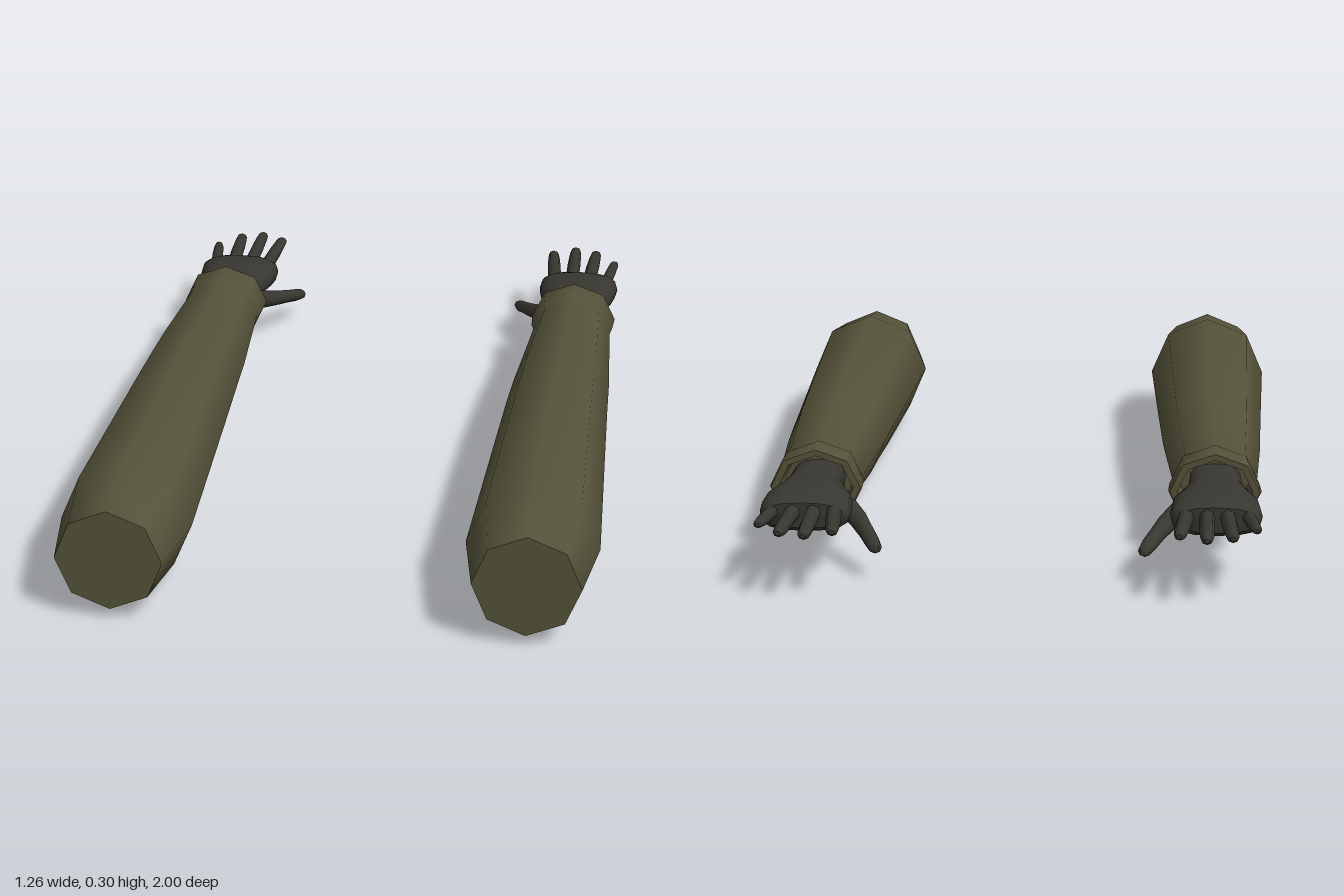
import * as THREE from 'three';
import { toCreasedNormals } from 'three/addons/utils/BufferGeometryUtils.js';

// Closed skin over elliptical sections [z, centreX, centreY, radiusX, radiusY], listed towards -z
function loft(rows, sides, mirror, power = 1) {
  const pos = [], index = [];
  const sx = mirror ? -1 : 1;
  const soft = (v) => Math.sign(v) * Math.abs(v) ** power;
  for (const [z, cx, cy, rx, ry] of rows) {
    for (let j = 0; j < sides; j++) {
      const a = (j / sides) * Math.PI * 2;
      pos.push(sx * (cx + rx * soft(Math.cos(a))), cy + ry * soft(Math.sin(a)), z);
    }
  }
  const tri = (a, b, c) => (mirror ? index.push(a, c, b) : index.push(a, b, c));
  const last = (rows.length - 1) * sides;
  const first = rows[0], end = rows[rows.length - 1];
  const startCentre = rows.length * sides;
  pos.push(sx * first[1], first[2], first[0], sx * end[1], end[2], end[0]);
  for (let j = 0; j < sides; j++) {
    const k = (j + 1) % sides;
    for (let i = 0; i < rows.length - 1; i++) {
      const a = i * sides + j, b = i * sides + k;
      tri(a, a + sides, b);
      tri(b, a + sides, b + sides);
    }
    tri(startCentre, j, k);
    tri(startCentre + 1, last + k, last + j);
  }
  const geo = new THREE.BufferGeometry();
  geo.setAttribute('position', new THREE.Float32BufferAttribute(pos, 3));
  geo.setIndex(index);
  return toCreasedNormals(geo, 1.0);
}

// Sleeve with a raised cuff whose rim folds back inside
const sleeveRows = [
  [1, 0.477, 0.153, 0.125, 0.125],
  [0.8, 0.475, 0.153, 0.155, 0.15],
  [0.25, 0.474, 0.16, 0.135, 0.131],
  [0.06, 0.474, 0.163, 0.128, 0.121],
  [-0.1, 0.475, 0.16, 0.122, 0.114],
  [-0.43, 0.477, 0.157, 0.102, 0.09],
  [-0.45, 0.477, 0.157, 0.106, 0.092],
  [-0.46, 0.476, 0.156, 0.108, 0.095],
  [-0.53, 0.476, 0.156, 0.111, 0.096],
  [-0.54, 0.476, 0.156, 0.107, 0.092],
  [-0.54, 0.476, 0.156, 0.09, 0.077],
  [-0.44, 0.476, 0.156, 0.085, 0.073],
];

// Wrist widening into the palm
const palmRows = [
  [-0.43, 0.478, 0.156, 0.062, 0.044],
  [-0.55, 0.478, 0.156, 0.067, 0.045],
  [-0.62, 0.476, 0.158, 0.084, 0.043],
  [-0.68, 0.475, 0.159, 0.102, 0.042],
  [-0.74, 0.476, 0.152, 0.107, 0.042],
  [-0.765, 0.476, 0.15, 0.104, 0.039],
  [-0.785, 0.477, 0.153, 0.09, 0.03],
];

// Fingers: base x, tip x, tip z, radius
const fingers = [
  ['indexFinger', 0.41, 0.39, -0.965, 0.018],
  ['middleFinger', 0.455, 0.451, -1, 0.018],
  ['ringFinger', 0.5, 0.51, -0.98, 0.018],
  ['littleFinger', 0.544, 0.566, -0.91, 0.015],
];

function fingerRows(baseX, tipX, tipZ, r) {
  const baseZ = -0.73;
  const steps = [[0, 1.1], [0.35, 1], [0.6, 1], [0.85, 0.88], [0.95, 0.75], [1, 0.35]];
  return steps.map(([t, s]) => [
    baseZ + (tipZ - baseZ) * t,
    baseX + (tipX - baseX) * t,
    0.158 + 0.006 * t,
    r * s,
    r * s * (1.1 - 0.25 * t),
  ]);
}

// Thumb swings inwards and down
const thumbRows = [
  [-0.56, 0.435, 0.14, 0.022, 0.025],
  [-0.61, 0.392, 0.126, 0.026, 0.026],
  [-0.66, 0.362, 0.111, 0.024, 0.022],
  [-0.71, 0.339, 0.096, 0.02, 0.019],
  [-0.75, 0.322, 0.084, 0.019, 0.018],
  [-0.777, 0.312, 0.077, 0.016, 0.015],
  [-0.787, 0.308, 0.074, 0.007, 0.007],
];

export function createModel() {
  const cloth = new THREE.MeshStandardMaterial({ color: 0x55533a });
  cloth.name = 'oliveCloth';
  const glove = new THREE.MeshStandardMaterial({ color: 0x383731 });
  glove.name = 'darkGlove';

  const model = new THREE.Group();
  model.name = 'arms';
  for (const mirror of [false, true]) {
    const arm = new THREE.Group();
    arm.name = mirror ? 'rightArm' : 'leftArm';
    const add = (name, geometry, material) => {
      const mesh = new THREE.Mesh(geometry, material);
      mesh.name = name;
      arm.add(mesh);
    };
    add('sleeve', loft(sleeveRows, 8, mirror), cloth);
    add('palm', loft(palmRows, 16, mirror, 0.75), glove);
    for (const [name, ...size] of fingers) add(name, loft(fingerRows(...size), 8, mirror), glove);
    add('thumb', loft(thumbRows, 8, mirror), glove);
    model.add(arm);
  }
  return model;
}
